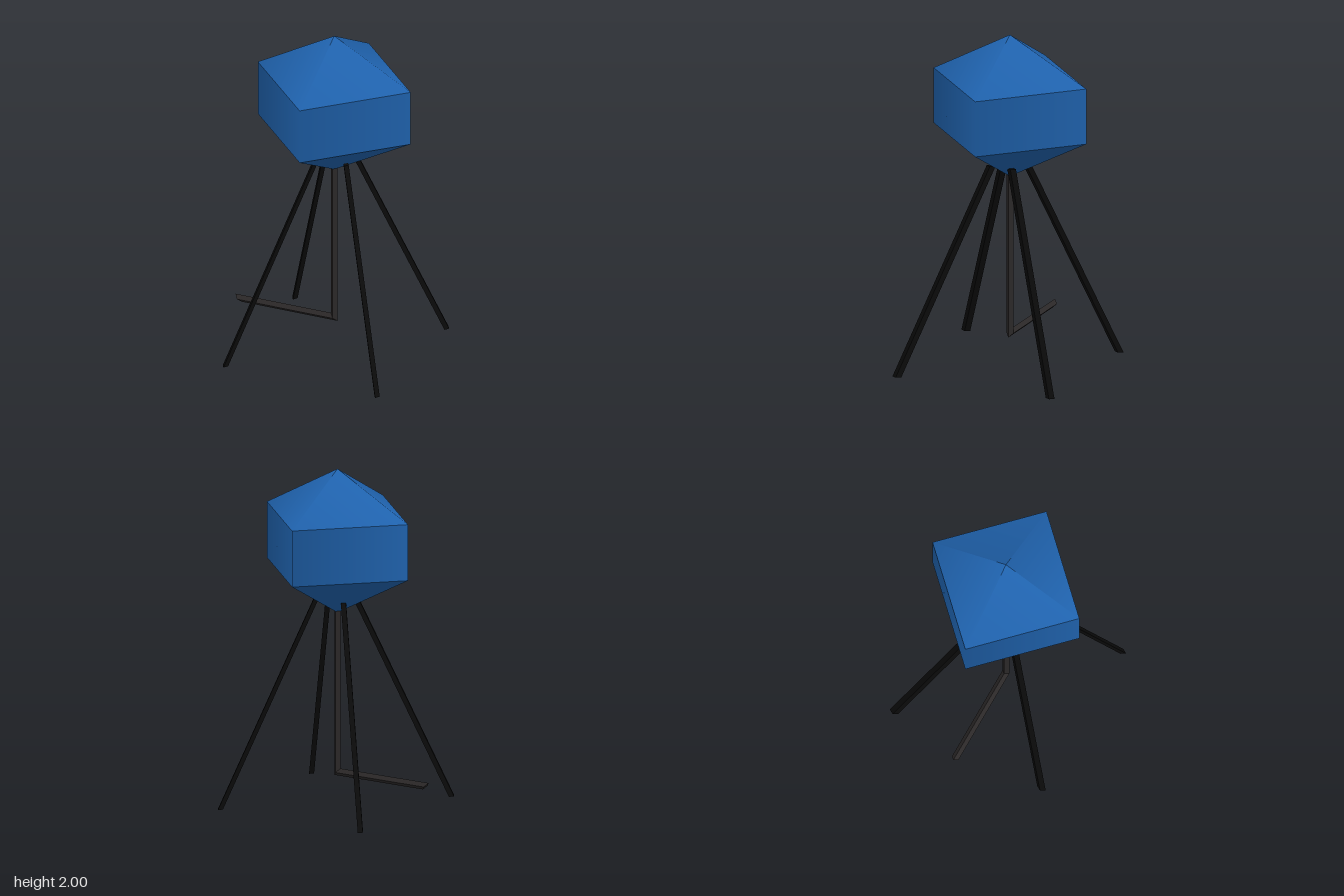
import * as THREE from 'three';

const blue = new THREE.MeshStandardMaterial({ color: 0x1f62ad });
const black = new THREE.MeshStandardMaterial({ color: 0x0a0a0a, flatShading: true });
const darkGrey = new THREE.MeshStandardMaterial({ color: 0x2b2828, flatShading: true });

// Bar skinned through four-cornered rings, from the lower end to the upper end
function bar(name, rings, material) {
  const index = [];
  const last = (rings.length - 1) * 4;
  for (let r = 0; r < last; r += 4) {
    for (let i = 0; i < 4; i++) {
      const a = r + i, b = r + (i + 1) % 4;
      index.push(a, a + 4, b + 4, a, b + 4, b);
    }
  }
  index.push(0, 1, 2, 0, 2, 3, last, last + 2, last + 1, last, last + 3, last + 2);
  const geometry = new THREE.BufferGeometry();
  geometry.setAttribute('position', new THREE.Float32BufferAttribute(rings.flat(2), 3));
  geometry.setIndex(index);
  geometry.computeVertexNormals();
  const mesh = new THREE.Mesh(geometry, material);
  mesh.name = name;
  return mesh;
}

// Horizontal diamond cross-section
const diamond = (x, y, z, rx, rz) => [[x + rx, y, z], [x, y, z + rz], [x - rx, y, z], [x, y, z - rz]];

export function createModel() {
  const model = new THREE.Group();
  model.name = 'waterTower';
  const cx = 0.057, cz = -0.006, radius = 0.485;

  // Four-sided, smooth-shaded tank with pointed roof and base
  const tank = new THREE.Group();
  tank.name = 'tank';
  tank.position.set(cx, 0, cz);
  const addTankPart = (name, geometry, y) => {
    const mesh = new THREE.Mesh(geometry, blue);
    mesh.name = name;
    mesh.position.y = y;
    tank.add(mesh);
  };
  addTankPart('tankWall', new THREE.CylinderGeometry(radius, radius, 0.335, 4, 1, true), 1.5675);
  addTankPart('tankRoof', new THREE.CylinderGeometry(0, radius, 0.265, 4, 1, true), 1.8675);
  addTankPart('tankBase', new THREE.CylinderGeometry(radius, 0, 0.26, 4, 1, true), 1.27);
  model.add(tank);

  // Splayed legs
  for (const [sx, side] of [[1, 'Left'], [-1, 'Right']]) {
    for (const [sz, end] of [[1, 'front'], [-1, 'back']]) {
      model.add(bar(`${end}${side}Leg`, [
        diamond(0.071 + sx * 0.481, 0, sz * 0.487, 0.017, 0.028),
        diamond(0.071 + sx * 0.093, 1.225, sz * 0.065, 0.017, 0.028),
      ], black));
    }
  }

  // Drain pipe: down from the tank, mitred elbow, then out to the right
  const r = 0.022, pipeY = 0.188;
  const corners = [[r, 0], [0, r], [-r, 0], [0, -r]];
  model.add(bar('drainPipe', [
    corners.map(([u, w]) => [-0.55 + u * 0.9, pipeY - u, cz + w]),
    corners.map(([u, w]) => [cx + u, pipeY - u, cz + w]),
    diamond(cx, 1.2, cz, r, r),
  ], darkGrey));

  return model;
}
